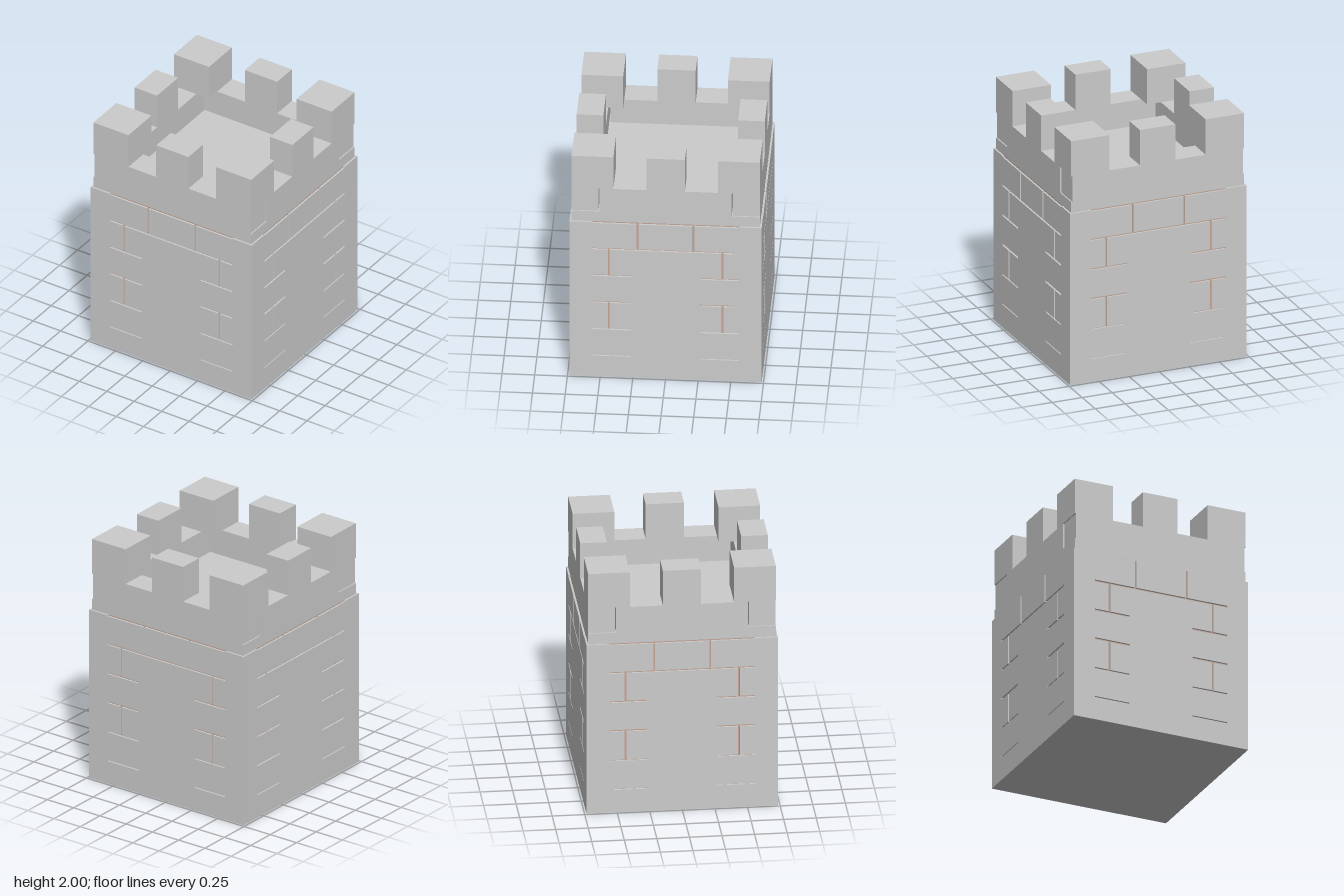
import * as THREE from 'three';

const stone = new THREE.MeshStandardMaterial({ color: 0xcccccc, flatShading: true });
const mortar = new THREE.MeshStandardMaterial({ color: 0xc4a390, flatShading: true });

const INNER = 0.72, OUTER = 0.735; // half widths of the core and of the brick facing
const BODY_TOP = 1.41, FLOOR = 1.5, WALL_TOP = 1.71, TOP = 2;

// Box given by its minimum and maximum corners
function block(name, [x0, y0, z0], [x1, y1, z1], material = stone) {
  const mesh = new THREE.Mesh(new THREE.BoxGeometry(x1 - x0, y1 - y0, z1 - z0), material);
  mesh.position.set((x0 + x1) / 2, (y0 + y1) / 2, (z0 + z1) / 2);
  mesh.name = name;
  return mesh;
}

const points = (list) => list.map(([x, y]) => new THREE.Vector2(x, y));
const mirror = (list) => list.map(([x, y]) => [-x, y]).reverse();

// Facing plate with the mortar joints cut through it
function facing(halfWidth) {
  const half = [
    [halfWidth, 0], [halfWidth, BODY_TOP], [0.56, BODY_TOP], [0.56, 1.402],
    [0.222, 1.402], [0.222, 1.176], [0.56, 1.176], [0.56, 1.162],
    [0.442, 1.162], [0.442, 0.932], [0.56, 0.932], [0.56, 0.918],
    [0.265, 0.918], [0.265, 0.932], [0.428, 0.932], [0.428, 1.162],
  ];
  const shape = new THREE.Shape(points([...half, ...mirror(half)]));
  const joint = [
    [0.265, 0.43], [0.56, 0.43], [0.56, 0.44], [0.442, 0.44], [0.442, 0.675], [0.56, 0.675],
    [0.56, 0.69], [0.265, 0.69], [0.265, 0.675], [0.428, 0.675], [0.428, 0.44], [0.265, 0.44],
  ];
  const slit = [[0.265, 0.188], [0.56, 0.188], [0.56, 0.196], [0.265, 0.196]];
  for (const hole of [joint, slit]) {
    shape.holes.push(new THREE.Path(points(hole)), new THREE.Path(points(mirror(hole))));
  }
  const geometry = new THREE.ExtrudeGeometry(shape, { depth: OUTER - INNER, bevelEnabled: false });
  const plate = new THREE.Mesh(geometry, stone);
  plate.position.z = INNER;
  plate.name = 'brickFacing';

  const side = new THREE.Group();
  side.add(plate, block('centreBrick', [-0.208, 1.176, INNER], [0.208, 1.402, OUTER]));
  return side;
}

export function createModel() {
  const tower = new THREE.Group();
  tower.name = 'tower';

  // Core, bottom slab and parapet floor
  tower.add(
    block('bottomSlab', [-INNER, 0, -INNER], [INNER, 0.02, INNER]),
    block('mortarCore', [-INNER, 0.02, -INNER], [INNER, BODY_TOP, INNER], mortar),
    block('parapetFloor', [-INNER, BODY_TOP, -INNER], [INNER, FLOOR, INNER]),
  );

  ['front', 'left', 'back', 'right'].forEach((name, i) => {
    const side = facing(i % 2 ? INNER : OUTER);
    side.name = name + 'Side';
    // Parapet wall, stopping just short of its neighbours, and its middle merlon
    const reach = i % 2 ? 0.505 : 0.71;
    side.add(
      block('parapetWall', [-reach, FLOOR, 0.515], [reach, WALL_TOP, INNER]),
      block('middleMerlon', [-0.147, WALL_TOP, 0.515], [0.147, TOP, INNER]),
      block('cornerMerlon', [0.4, WALL_TOP, 0.4], [INNER, TOP, INNER]),
    );
    side.rotation.y = i * Math.PI / 2;
    tower.add(side);
  });

  return tower;
}
